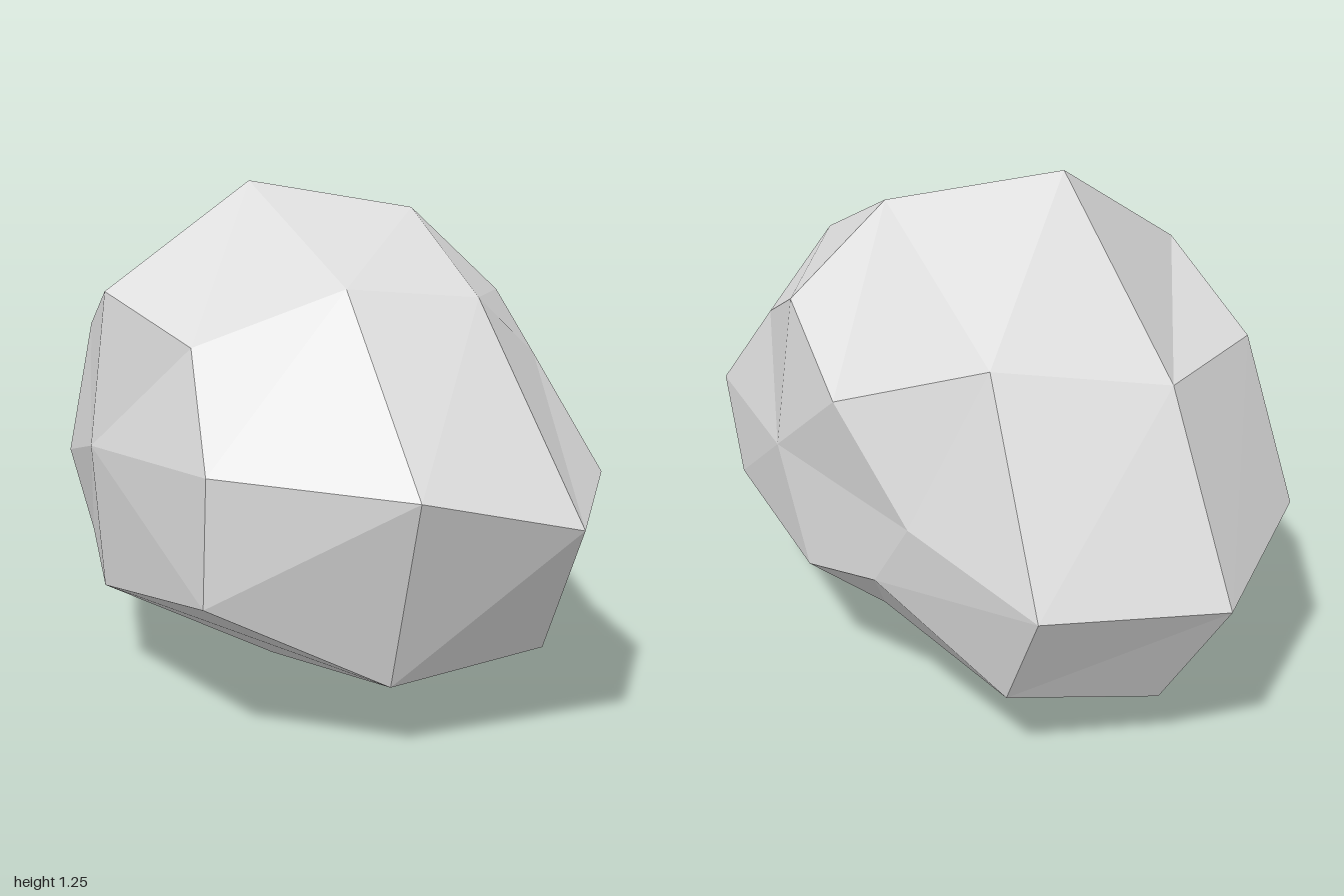
import * as THREE from 'three';

// Cross-sections from -x to +x; each runs top, front, bottom, back as [x, y, z]
const rings = [
  [[-0.55, 0.98, 0.02], [-0.44, 0.875, 0.43], [-0.48, 0.617, 0.69], [-0.48, 0.315, 0.66],
    [-0.55, 0.22, -0.03], [-0.485, 0.275, -0.47], [-0.51, 0.475, -0.66], [-0.48, 0.855, -0.48]],
  [[-0.1, 1.25, -0.22], [-0.1, 1.01, 0.54], [-0.1, 0.593, 1], [-0.1, 0.15, 0.83],
    [-0.1, 0, -0.03], [-0.06, 0.125, -0.82], [-0.135, 0.41, -1], [-0.1, 0.875, -0.77]],
  [[0.3, 1.18, -0.05], [0.25, 0.98, 0.5], [0.3, 0.503, 0.967], [0.3, 0.19, 0.77],
    [0.3, 0.065, 0.01], [0.3, 0.17, -0.75], [0.3, 0.43, -0.91], [0.3, 0.93, -0.66]],
  [[0.547, 0.957, -0.04], [0.49, 0.82, 0.31], [0.543, 0.557, 0.585], [0.555, 0.34, 0.41],
    [0.553, 0.29, -0.13], [0.49, 0.36, -0.42], [0.46, 0.54, -0.56], [0.55, 0.79, -0.335]],
];
const ends = [[-0.587, 0.59, 0], [0.583, 0.57, 0]];

export function createModel() {
  const stone = new THREE.MeshStandardMaterial({ color: 0xdddddd });
  stone.name = 'paleGreyStone';
  stone.flatShading = true;

  const points = [];
  const tri = (a, b, c) => points.push(...a, ...b, ...c);
  for (let j = 0; j < 8; j++) {
    const k = (j + 1) % 8;
    // Bands between neighbouring cross-sections; the rear underside splits the other way
    for (let i = 0; i < 3; i++) {
      const a = rings[i], b = rings[i + 1];
      if (j === 4) {
        tri(a[j], a[k], b[k]);
        tri(a[j], b[k], b[j]);
      } else {
        tri(a[j], a[k], b[j]);
        tri(b[j], a[k], b[k]);
      }
    }
    // Shallow pointed caps on both sides
    tri(ends[0], rings[0][k], rings[0][j]);
    tri(ends[1], rings[3][j], rings[3][k]);
  }

  const geometry = new THREE.BufferGeometry();
  geometry.setAttribute('position', new THREE.Float32BufferAttribute(points, 3));
  geometry.computeVertexNormals();

  const rock = new THREE.Mesh(geometry, stone);
  rock.name = 'rock';
  const group = new THREE.Group();
  group.name = 'boulder';
  group.add(rock);
  return group;
}
